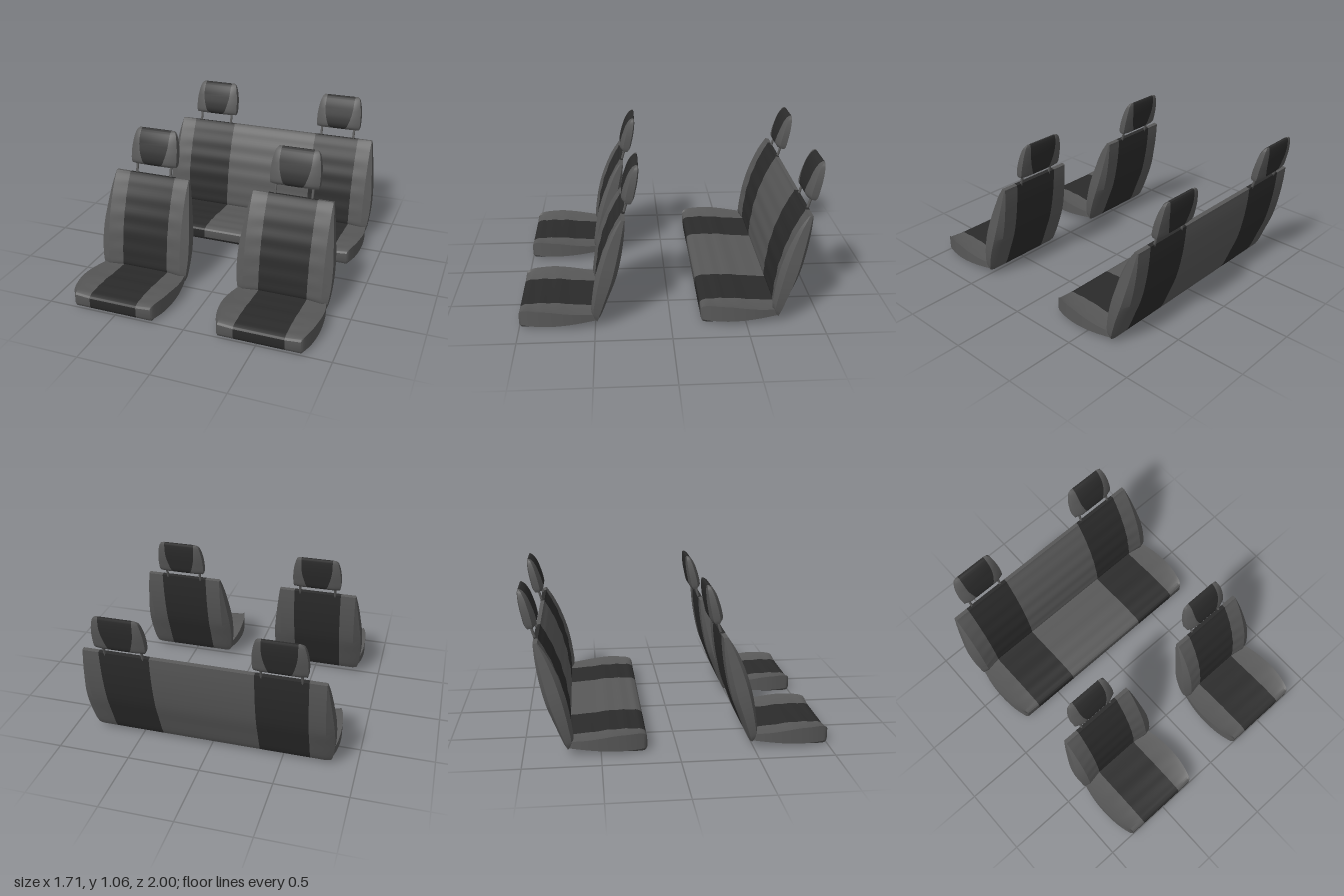
import * as THREE from 'three';
import { toCreasedNormals } from 'three/addons/utils/BufferGeometryUtils.js';

const grey = new THREE.MeshStandardMaterial({ color: 0x585858 });
grey.name = 'grey fabric';
const dark = new THREE.MeshStandardMaterial({ color: 0x2b2b2b });
dark.name = 'dark fabric';
const mats = [grey, dark];
const G = 0, D = 1;

// Side profiles: [front z, front y, back z, back y, side bulge], one row per station.
// The cushion runs front to back, so its "front" is the top and its "back" the underside.
const CUSHION = [
  [1.0, 0.096, 1.0, 0.028, 0.0],
  [0.987, 0.11, 0.987, 0.006, 0.012],
  [0.95, 0.118, 0.95, 0.0, 0.025],
  [0.88, 0.119, 0.88, 0.0, 0.042],
  [0.8, 0.118, 0.8, 0.002, 0.052],
  [0.7, 0.108, 0.7, 0.014, 0.056],
  [0.6, 0.097, 0.6, 0.028, 0.049],
  [0.49, 0.088, 0.48, 0.043, 0.028],
];
const BACKREST = [
  [0.505, 0.06, 0.482, 0.036, 0.03],
  [0.523, 0.1, 0.46, 0.075, 0.042],
  [0.514, 0.22, 0.41, 0.2, 0.055],
  [0.485, 0.38, 0.357, 0.34, 0.053],
  [0.437, 0.53, 0.32, 0.5, 0.036],
  [0.375, 0.665, 0.3, 0.64, 0.018],
  [0.32, 0.75, 0.292, 0.745, 0.003],
];
const HEADREST = [
  [0.3, 0.812, 0.248, 0.807, 0.05],
  [0.311, 0.832, 0.234, 0.822, 0.055],
  [0.304, 0.885, 0.219, 0.88, 0.057],
  [0.288, 0.94, 0.207, 0.94, 0.054],
  [0.265, 1.0, 0.2, 1.0, 0.044],
  [0.237, 1.042, 0.2, 1.04, 0.031],
  [0.217, 1.056, 0.204, 1.055, 0.016],
];

// Skins a padded body through the stations. cols(u) gives the x of the panel seams,
// wing the depth of the two side edges, and relief sinks and ripples the inner panels.
function padding(name, rows, { cols, front, back = front, wing, steps = 48, relief }) {
  const curve = (f) => new THREE.CatmullRomCurve3(rows.map(f), false, 'centripetal');
  const frontCurve = curve((r) => new THREE.Vector3(r[4], r[1], r[0]));
  const backCurve = curve((r) => new THREE.Vector3(r[4], r[3], r[2]));
  const n = cols(0).length, ring = 2 * n + 4;
  const pos = [], index = [[], []];

  for (let s = 0; s <= steps; s++) {
    const u = s / steps, f = frontCurve.getPoint(u), b = backCurve.getPoint(u);
    const xs = cols(u), W = xs[n - 1], bulge = f.x;
    const put = (x, t, dy = 0, dz = 0) =>
      pos.push(x, f.y + (b.y - f.y) * t + dy, f.z + (b.z - f.z) * t + dz);
    const sink = relief
      ? Math.sin(u * Math.PI * 2 * relief.count) * Math.sin(u * Math.PI) * 0.0025 - relief.dish * Math.sqrt(1 - u)
      : 0;
    xs.forEach((x, i) => {
      const h = i === 0 || i === n - 1 ? 0 : sink;
      put(x, 0, relief?.axis === 'y' ? h : 0, relief?.axis === 'z' ? h : 0);
    });
    wing.forEach((t) => put(W + bulge, t));
    for (let i = n - 1; i >= 0; i--) put(xs[i], 1);
    [...wing].reverse().forEach((t) => put(-W - bulge, t));
  }

  const quad = (m, a, b, c, d) => index[m].push(a, b, c, a, c, d);
  const colour = (i) => {
    if (i < n - 1) return front[i];
    if (i >= n + 2 && i < 2 * n + 1) return back[2 * n - i];
    return G;
  };
  for (let s = 0; s < steps; s++) {
    for (let i = 0; i < ring; i++) {
      const a = s * ring + i, b = s * ring + (i + 1) % ring;
      quad(colour(i), a, b, b + ring, a + ring);
    }
  }
  // End faces, split along the same seams
  for (const [o, last] of [[0, false], [steps * ring, true]]) {
    const cap = (m, a, b, c, d) =>
      last ? quad(m, o + a, o + b, o + c, o + d) : quad(m, o + d, o + c, o + b, o + a);
    for (let i = 0; i < n - 1; i++) cap(front[i], i, i + 1, 2 * n - i, 2 * n + 1 - i);
    cap(G, n - 1, n, n + 1, n + 2);
    cap(G, 2 * n + 1, 2 * n + 2, 2 * n + 3, 0);
  }

  const geo = new THREE.BufferGeometry();
  geo.setAttribute('position', new THREE.Float32BufferAttribute(pos, 3));
  geo.setIndex([...index[G], ...index[D]]);
  geo.addGroup(0, index[G].length, 0);
  geo.addGroup(index[G].length, index[D].length, 1);
  const mesh = new THREE.Mesh(toCreasedNormals(geo, 0.5), mats);
  mesh.name = name;
  return mesh;
}

// Headrest with its two posts
function makeHeadrest(x) {
  const group = new THREE.Group();
  group.name = 'headrest';
  const seam = (u) => 0.05 + 0.062 * Math.sin(Math.min(1, u * 1.5) * Math.PI / 2);
  group.add(padding('headrestPad', HEADREST, {
    cols: (u) => [-0.117, -seam(u), seam(u), 0.117],
    front: [G, D, G],
    wing: [0.3, 0.85],
    steps: 24,
  }));
  for (const side of [-1, 1]) {
    const path = new THREE.LineCurve3(
      new THREE.Vector3(side * 0.13, 0.725, 0.303),
      new THREE.Vector3(side * 0.13, 0.83, 0.273));
    const post = new THREE.Mesh(new THREE.TubeGeometry(path, 1, 0.009, 10), grey);
    post.name = 'headrestPost';
    group.add(post);
  }
  group.position.x = x;
  return group;
}

function makeSeat(name, xs, stripes, underside, headrests) {
  const seat = new THREE.Group();
  seat.name = name;
  const cols = () => xs;
  seat.add(
    padding('cushion', CUSHION, {
      cols, front: stripes, back: underside, wing: [-0.1, 0.82],
      relief: { count: 5, dish: 0.009, axis: 'y' },
    }),
    padding('backrest', BACKREST, {
      cols, front: stripes, wing: [0.2, 0.78],
      relief: { count: 7, dish: 0.022, axis: 'z' },
    }),
    ...headrests.map(makeHeadrest));
  return seat;
}

export function createModel() {
  const model = new THREE.Group();
  model.name = 'carSeats';

  // Two single front seats
  for (const [name, side] of [['frontSeatLeft', 1], ['frontSeatRight', -1]]) {
    const seat = makeSeat(name, [-0.28, -0.1725, 0.1725, 0.28], [G, D, G], [G, D, G], [0]);
    seat.position.x = side * 0.5175;
    model.add(seat);
  }

  // Rear bench
  const bench = makeSeat('rearBench', [-0.8, -0.69, -0.345, 0.345, 0.69, 0.8],
    [G, D, G, D, G], [G, D, D, D, G], [-0.5175, 0.5175]);
  bench.position.z = -1.2;
  model.add(bench);
  return model;
}
